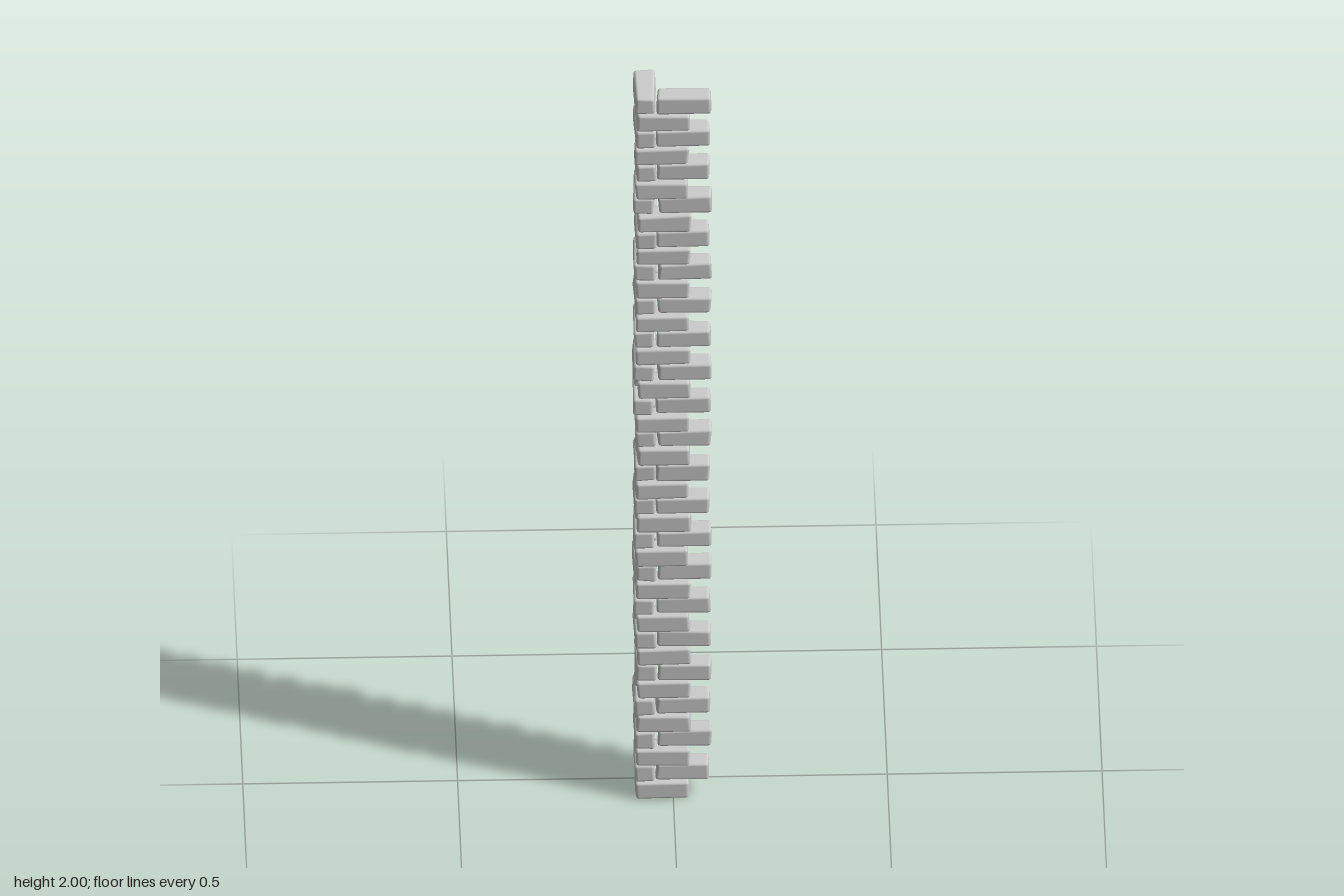
import * as THREE from 'three';
import { RoundedBoxGeometry } from 'three/addons/geometries/RoundedBoxGeometry.js';

const COURSES = 42;
const STEP = 2 / COURSES;

// Small seeded generator, returns -1..1
function seeded(seed) {
  let s = seed;
  return () => {
    s = (s * 16807) % 2147483647;
    return (s / 2147483647) * 2 - 1;
  };
}

export function createModel() {
  const group = new THREE.Group();
  group.name = 'cornerQuoins';
  const material = new THREE.MeshStandardMaterial({ color: 0xcccccc });
  const rand = seeded(4711);

  // Worn brick between two plan corners, lengthwise along x or z
  function brick(name, x0, x1, z0, z1, y) {
    const w = x1 - x0, d = z1 - z0, h = STEP - 0.002;
    const geo = new RoundedBoxGeometry(w, h, d, 2, 0.007);
    const p = geo.attributes.position;
    // Shift each of the eight corners a little, so the faces slope unevenly
    const shift = Array.from({ length: 8 }, () => [rand() * 0.003, rand() * 0.0015, rand() * 0.003]);
    for (let i = 0; i < p.count; i++) {
      const u = p.getX(i) / w + 0.5, v = p.getY(i) / h + 0.5, t = p.getZ(i) / d + 0.5;
      const move = [0, 0, 0];
      shift.forEach((s, c) => {
        const k = (c & 1 ? u : 1 - u) * (c & 2 ? v : 1 - v) * (c & 4 ? t : 1 - t);
        for (let a = 0; a < 3; a++) move[a] += s[a] * k;
      });
      p.setXYZ(i, p.getX(i) + move[0], p.getY(i) + move[1], p.getZ(i) + move[2]);
    }
    const mesh = new THREE.Mesh(geo, material);
    mesh.name = name;
    mesh.position.set((x0 + x1) / 2 + rand() * 0.003, y, (z0 + z1) / 2 + rand() * 0.003);
    mesh.rotation.y = rand() * 0.015;
    group.add(mesh);
  }

  // Courses alternate which wall owns the corner brick
  for (let i = 0; i < COURSES; i++) {
    const y = (i + 0.5) * STEP;
    if (i % 2) {
      brick('sideCornerBrick', -0.09, -0.043, -0.038, 0.086, y);
      brick('frontBrick', -0.037, 0.087, 0.033, 0.083, y);
    } else {
      brick('frontCornerBrick', -0.086, 0.038, 0.043, 0.09, y);
      brick('sideBrick', -0.087, -0.037, -0.091, 0.037, y);
    }
  }
  return group;
}
